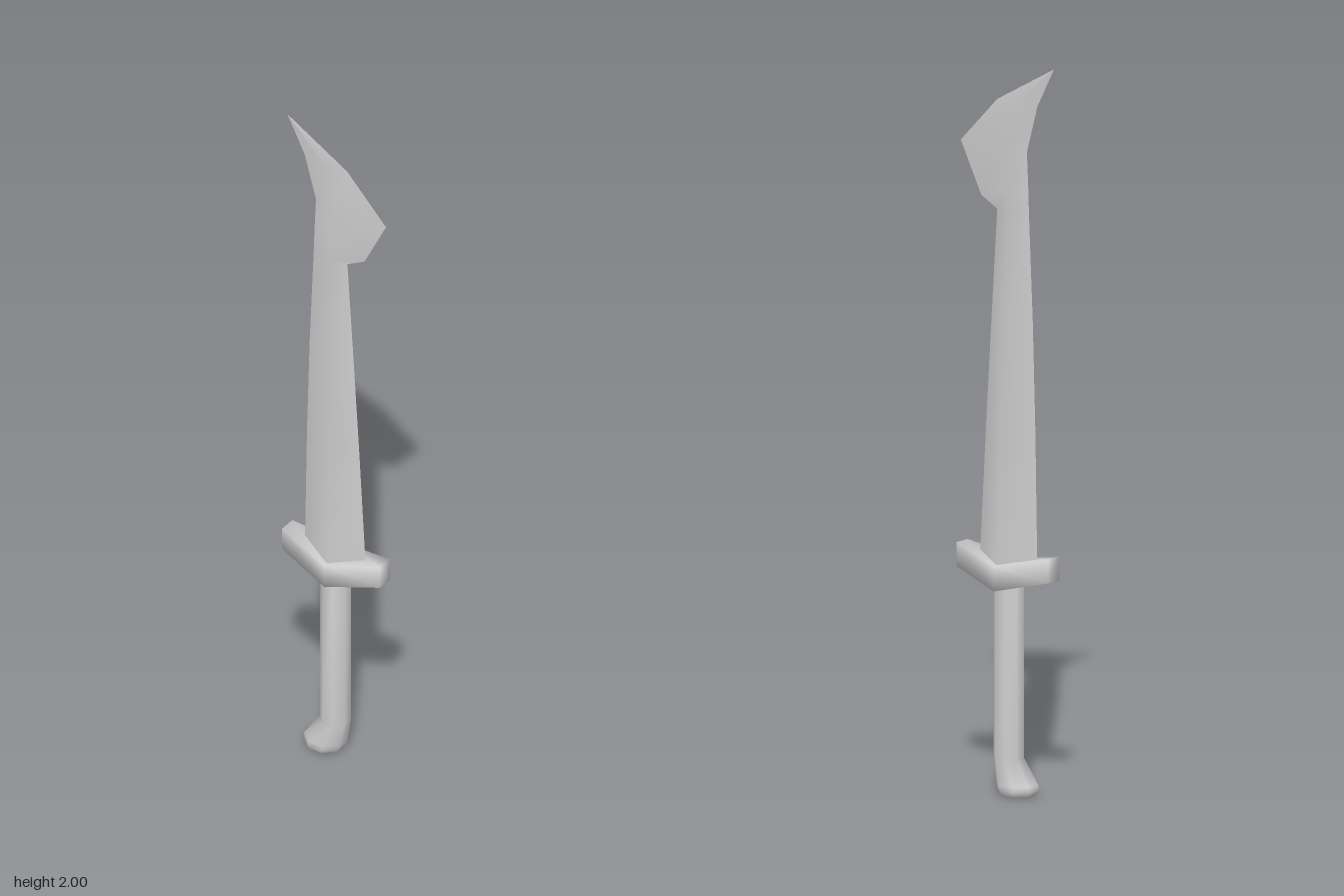
import * as THREE from 'three';

const material = new THREE.MeshStandardMaterial({ color: 0xcccccc, side: THREE.DoubleSide });

// Skin rows of points into a smooth surface; closed rows wrap round and get end caps.
function loft(rows, closed) {
  const n = rows[0].length, last = (rows.length - 1) * n;
  const index = [];
  for (let r = 0; r < rows.length - 1; r++) {
    for (let i = 0; i < (closed ? n : n - 1); i++) {
      const a = r * n + i, b = r * n + (i + 1) % n;
      index.push(a, b, b + n, a, b + n, a + n);
    }
  }
  if (closed) {
    for (let i = 1; i < n - 1; i++) index.push(0, i + 1, i, last, last + i, last + i + 1);
  }
  const geometry = new THREE.BufferGeometry();
  geometry.setAttribute('position', new THREE.Float32BufferAttribute(rows.flat(2), 3));
  geometry.setIndex(index);
  geometry.computeVertexNormals();
  return geometry;
}

function part(name, geometry) {
  const mesh = new THREE.Mesh(geometry, material);
  mesh.name = name;
  return mesh;
}

// Flat-sided octagon of half-widths rx and rz
function octagon(x, y, rx, rz) {
  const k = 1 / Math.cos(Math.PI / 8);
  return Array.from({ length: 8 }, (_, i) => {
    const t = (i + 0.5) * Math.PI / 4;
    return [x + Math.sin(t) * rx * k, y, Math.cos(t) * rz * k];
  });
}

export function createModel() {
  const group = new THREE.Group();
  group.name = 'sword';

  // Blade rows: back edge x, y; ridge x, y, half-thickness; cutting edge x, y
  const bladeRows = [
    [-0.103, 0.6, 0, 0.6, 0.047, 0.096, 0.6],
    [-0.096, 1.0, -0.005, 1.0, 0.037, 0.073, 1.0],
    [-0.087, 1.3, -0.01, 1.3, 0.028, 0.054, 1.3],
    [-0.074, 1.59, -0.015, 1.59, 0.019, 0.035, 1.59],
    [-0.072, 1.65, -0.012, 1.64, 0.017, 0.09, 1.62],
    [-0.067, 1.76, -0.005, 1.76, 0.012, 0.16, 1.76],
    [-0.103, 1.89, -0.035, 1.89, 0.007, 0.035, 1.89],
    [-0.16, 2, -0.16, 2, 0, -0.16, 2],
  ];
  const blade = new THREE.Group();
  blade.name = 'blade';
  for (const side of [1, -1]) {
    const rows = bladeRows.map(([bx, by, mx, my, z, cx, cy]) => {
      const row = [[bx, by, 0], [mx, my, side * z], [cx, cy, 0]];
      return side > 0 ? row : row.reverse();
    });
    blade.add(part(side > 0 ? 'bladeFront' : 'bladeBack', loft(rows, false)));
  }
  group.add(blade);

  // Guard: V-shaped bar, thickest in the middle
  const guardRows = [[-0.16, 0.6, 0.665, 0.024], [0, 0.56, 0.63, 0.058], [0.156, 0.6, 0.665, 0.024]];
  group.add(part('guard', loft(guardRows.map(([x, low, high, z]) =>
    [[x, high, z], [x, low, z], [x, low, -z], [x, high, -z]]), true)));

  // Grip with a flared pommel leaning to one side
  group.add(part('grip', loft([
    octagon(-0.037, 0, 0.045, 0.043),
    octagon(-0.037, 0.015, 0.056, 0.05),
    octagon(-0.034, 0.03, 0.056, 0.049),
    octagon(-0.004, 0.1, 0.04, 0.036),
    octagon(-0.004, 0.6, 0.04, 0.036),
  ], true)));

  return group;
}
